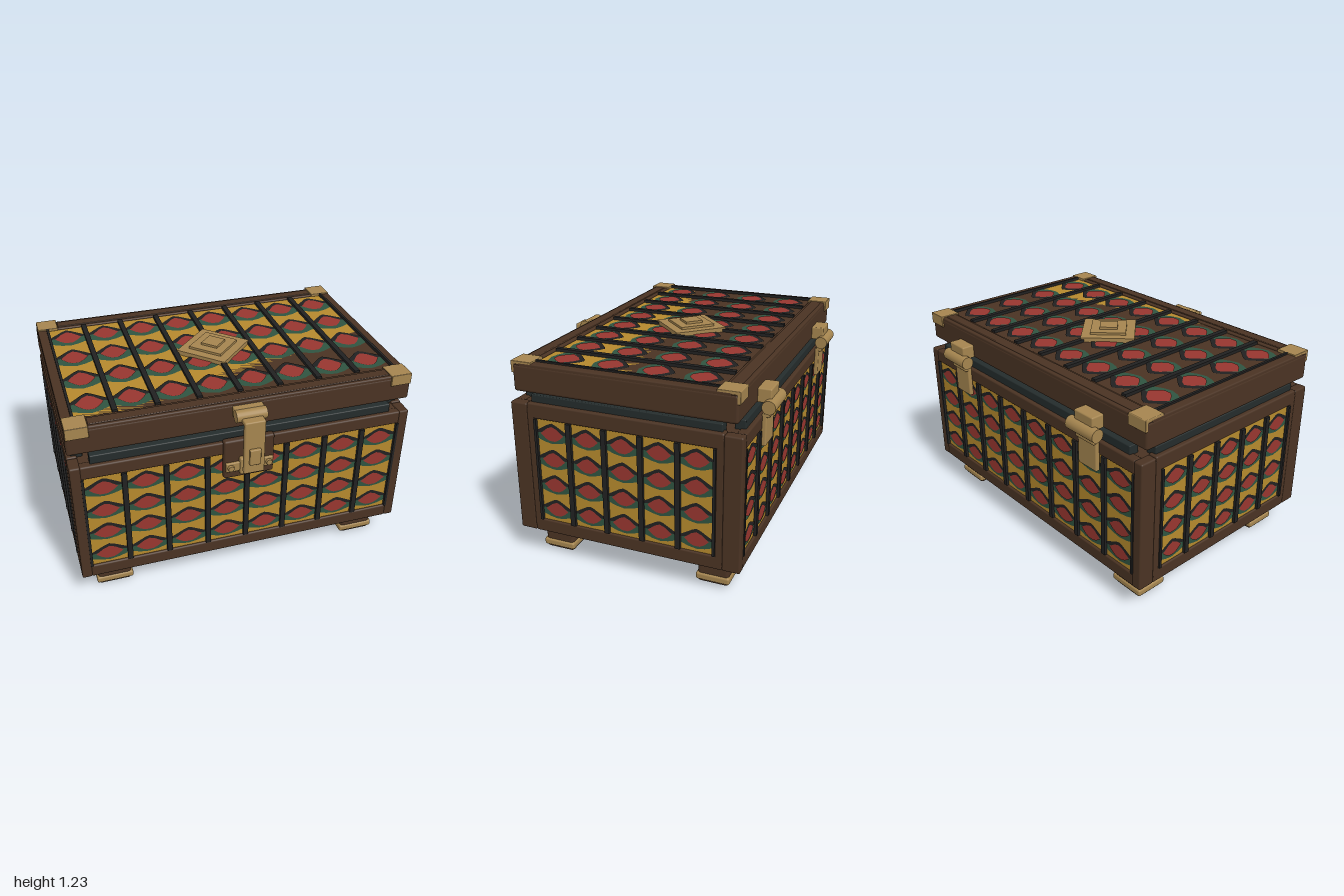
import * as THREE from 'three';
import { mergeGeometries } from 'three/addons/utils/BufferGeometryUtils.js';
import { RoundedBoxGeometry } from 'three/addons/geometries/RoundedBoxGeometry.js';

const mat = (name, color) => Object.assign(new THREE.MeshStandardMaterial({ color }), { name });
const M = {
  wood: mat('dark wood', 0x4a3323),
  brass: mat('brass', 0xa5854f),
  ochre: mat('ochre', 0xb5892d),
  red: mat('red', 0x98362f),
  green: mat('green', 0x2f5440),
  black: mat('black', 0x212121),
  seal: mat('dark seal', 0x242c2c),
};
const CZ = -0.025; // chest centre in z

// Box given by its limits; r rounds the edges.
function box(parent, name, material, [x0, x1], [y0, y1], [z0, z1], r = 0) {
  const s = [x1 - x0, y1 - y0, z1 - z0];
  const geo = r ? new RoundedBoxGeometry(...s, 2, r) : new THREE.BoxGeometry(...s);
  const mesh = new THREE.Mesh(geo, material);
  mesh.name = name;
  mesh.position.set((x0 + x1) / 2, (y0 + y1) / 2, (z0 + z1) / 2);
  parent.add(mesh);
  return mesh;
}

// Rod lying along x.
function rod(parent, name, material, x, y, z, radius, length) {
  const geo = new THREE.CylinderGeometry(radius, radius, length, 20).rotateZ(Math.PI / 2);
  const mesh = new THREE.Mesh(geo, material);
  mesh.name = name;
  mesh.position.set(x, y, z);
  parent.add(mesh);
}

// Tile motif: x in -0.5..0.5, second value is the distance down from the tile top.
const MOTIF = {
  green: [[0, 0.2], [0.5, 0.46], [0.5, 0.74], [0.25, 0.84], [0, 0.89], [-0.25, 0.84], [-0.5, 0.74], [-0.5, 0.46]],
  black: [[0, 0.1], [0.12, 0.15], [0.5, 0.41], [0.5, 0.5], [0.36, 0.48], [0, 0.26], [-0.36, 0.48], [-0.5, 0.5], [-0.5, 0.41], [-0.12, 0.15]],
  red: [[0, 0.22], [0.16, 0.3], [0.39, 0.52], [0.24, 0.68], [0.1, 0.77], [-0.1, 0.77], [-0.24, 0.68], [-0.39, 0.52], [-0.16, 0.3]],
};

// Painted panel facing +z: ochre ground, rows of motifs and raised dividers.
function panel(name, w, h, cols, rows) {
  const g = new THREE.Group();
  g.name = name;
  const pitch = w / cols, rowH = h / rows, bar = 0.03;
  box(g, 'ochreGround', M.ochre, [-w / 2, w / 2], [-h / 2, h / 2], [0, 0.006]);
  Object.entries(MOTIF).forEach(([key, pts], layer) => {
    const parts = [];
    for (let c = 0; c < cols; c++) for (let r = 0; r < rows; r++) {
      const shape = new THREE.Shape(pts.map(([u, v]) => new THREE.Vector2(u * (pitch - bar), -v * rowH)));
      parts.push(new THREE.ShapeGeometry(shape)
        .translate(-w / 2 + (c + 0.5) * pitch, h / 2 - r * rowH, 0.008 + layer * 0.002));
    }
    const mesh = new THREE.Mesh(mergeGeometries(parts), M[key]);
    mesh.name = key + 'Motifs';
    g.add(mesh);
  });
  for (let c = 0; c <= cols; c++) {
    const x = -w / 2 + c * pitch;
    const half = bar / 2;
    const lo = c === 0 ? x : x - half, hi = c === cols ? x : x + half;
    box(g, 'divider', M.black, [lo, hi], [-h / 2, h / 2], [0, 0.024]);
  }
  return g;
}

function addBody(root) {
  const g = new THREE.Group();
  g.name = 'body';
  root.add(g);
  box(g, 'core', M.wood, [-0.972, 0.972], [0.18, 0.945], [-0.67, 0.62]);
  box(g, 'base', M.wood, [-0.905, 0.905], [0.14, 0.2], [-0.6, 0.55], 0.01);
  // corner posts and rails
  for (const s of [-1, 1]) {
    for (const t of [-1, 1]) {
      const x = [s * 0.93, s * 0.99].sort((a, b) => a - b);
      const z = [CZ + t * 0.563, CZ + t * 0.665].sort((a, b) => a - b);
      box(g, 'cornerPost', M.wood, x, [0.17, 0.952], z, 0.01);
    }
    const rx = [s * 0.93, s * 0.99].sort((a, b) => a - b);
    const rz = [CZ + s * 0.61, CZ + s * 0.664].sort((a, b) => a - b);
    for (const y of [[0.17, 0.25], [0.87, 0.958]]) {
      box(g, 'sideRail', M.wood, rx, y, [CZ - 0.565, CZ + 0.565], 0.01);
      box(g, 'longRail', M.wood, [-0.935, 0.935], [y[0], Math.min(y[1], 0.951)], rz, 0.01);
    }
    for (const t of [-1, 1]) // stiles framing the side panels
      box(g, 'sideStile', M.wood, rx, [0.2, 0.93],
        [CZ + t * 0.545 - 0.02, CZ + t * 0.545 + 0.02], 0.005);
    // painted panels
    const long = panel('longPanel', 1.87, 0.62, 8, 4);
    long.position.set(0, 0.56, CZ + s * 0.645);
    long.rotation.y = s > 0 ? 0 : Math.PI;
    const side = panel('sidePanel', 1.05, 0.62, 5, 4);
    side.position.set(s * 0.973, 0.56, CZ);
    side.rotation.y = s * Math.PI / 2;
    g.add(long, side);
    // seal strips under the lid
    box(g, 'longSeal', M.seal, [-0.875, 0.875], [0.94, 1.0], [CZ + s * 0.61 - 0.03, CZ + s * 0.61 + 0.03], 0.006);
    box(g, 'sideSeal', M.seal, [s * 0.932 - 0.033, s * 0.932 + 0.033], [0.94, 1.0], [CZ - 0.548, CZ + 0.548], 0.006);
  }
}

function addFeet(root) {
  for (const x of [-0.79, 0.79]) for (const z of [CZ - 0.48, CZ + 0.48]) {
    const g = new THREE.Group();
    g.name = 'foot';
    g.position.set(x, 0, z);
    box(g, 'footBlock', M.wood, [-0.1, 0.1], [0, 0.16], [-0.09, 0.09], 0.02);
    box(g, 'footTrim', M.brass, [-0.11, 0.11], [0.018, 0.06], [-0.098, 0.098], 0.012);
    root.add(g);
  }
}

function addLid(root) {
  const g = new THREE.Group();
  g.name = 'lid';
  root.add(g);
  box(g, 'lidBoard', M.wood, [-0.99, 0.99], [1.016, 1.17], [-0.66, 0.61], 0.016);
  for (const s of [-1, 1]) {
    const z0 = CZ + s * 0.58;
    box(g, 'lidLongRim', M.wood, [-0.985, 0.985], [1.1, 1.18], [z0 - 0.053, z0 + 0.053], 0.008);
    box(g, 'lidRidge', M.wood, [-0.86, 0.86], [1.17, 1.186], [z0 - 0.03, z0 + 0.035], 0.005);
    box(g, 'lidSideRim', M.wood, [s * 0.96 - 0.028, s * 0.96 + 0.028], [1.1, 1.18], [CZ - 0.6, CZ + 0.6], 0.008);
    // brass corner plates
    for (const t of [-1, 1]) {
      const x = [s * 0.925 - 0.062, s * 0.925 + 0.062];
      box(g, 'cornerTop', M.brass, x, [1.17, 1.188], [CZ + t * 0.582 - 0.062, CZ + t * 0.582 + 0.062], 0.004);
      box(g, 'cornerFace', M.brass, x, [1.12, 1.186], [CZ + t * 0.634 - 0.01, CZ + t * 0.634 + 0.01], 0.004);
    }
  }
  const top = panel('lidPanel', 1.87, 1.05, 8, 4);
  top.position.set(0, 1.164, CZ);
  top.rotation.x = -Math.PI / 2;
  g.add(top);
  // stepped diamond ornament
  [[0.225, 1.165, 1.197], [0.15, 1.19, 1.211], [0.075, 1.2, 1.225]].forEach(([r, y0, y1]) => {
    const geo = new THREE.CylinderGeometry(r, r, y1 - y0, 4).toNonIndexed();
    geo.computeVertexNormals();
    const mesh = new THREE.Mesh(geo, M.brass);
    mesh.name = 'diamondOrnament';
    mesh.position.set(0, (y0 + y1) / 2, CZ);
    g.add(mesh);
  });
}

function addLatch(root) {
  const g = new THREE.Group();
  g.name = 'latch';
  root.add(g);
  box(g, 'backPlate', M.wood, [-0.147, 0.147], [0.72, 0.97], [0.62, 0.664], 0.012);
  box(g, 'lidMount', M.brass, [-0.085, 0.085], [1.1, 1.16], [0.6, 0.65], 0.006);
  rod(g, 'pivot', M.brass, 0, 1.128, 0.665, 0.035, 0.175);
  box(g, 'hookTop', M.brass, [-0.06, 0.06], [1.1, 1.13], [0.66, 0.75], 0.008);
  box(g, 'strap', M.brass, [-0.06, 0.06], [0.795, 1.125], [0.718, 0.75], 0.01);
  box(g, 'thumbPlate', M.brass, [-0.032, 0.032], [0.86, 0.96], [0.745, 0.768], 0.006);
  box(g, 'staple', M.brass, [-0.06, 0.06], [0.752, 0.86], [0.655, 0.692], 0.008);
  for (const s of [-1, 1]) {
    box(g, 'lug', M.brass, [s * 0.097 - 0.043, s * 0.097 + 0.043], [0.77, 0.83], [0.655, 0.678], 0.006);
    const rivet = new THREE.Mesh(new THREE.CylinderGeometry(0.017, 0.02, 0.014, 14).rotateX(Math.PI / 2), M.brass);
    rivet.name = 'rivet';
    rivet.position.set(s * 0.112, 0.8, 0.684);
    g.add(rivet);
  }
}

function addHinges(root) {
  for (const x of [-0.6, 0.6]) {
    const g = new THREE.Group();
    g.name = 'hinge';
    g.position.x = x;
    box(g, 'upperLeaf', M.brass, [-0.073, 0.073], [1.02, 1.1], [-0.735, -0.65], 0.008);
    box(g, 'lowerLeaf', M.brass, [-0.073, 0.073], [0.775, 0.96], [-0.713, -0.685], 0.008);
    box(g, 'leafNeck', M.brass, [-0.073, 0.073], [0.94, 1.0], [-0.73, -0.695], 0.006);
    rod(g, 'knuckle', M.brass, 0, 1.01, -0.73, 0.038, 0.216);
    root.add(g);
  }
}

export function createModel() {
  const root = new THREE.Group();
  root.name = 'chest';
  addBody(root);
  addFeet(root);
  addLid(root);
  addLatch(root);
  addHinges(root);
  return root;
}
